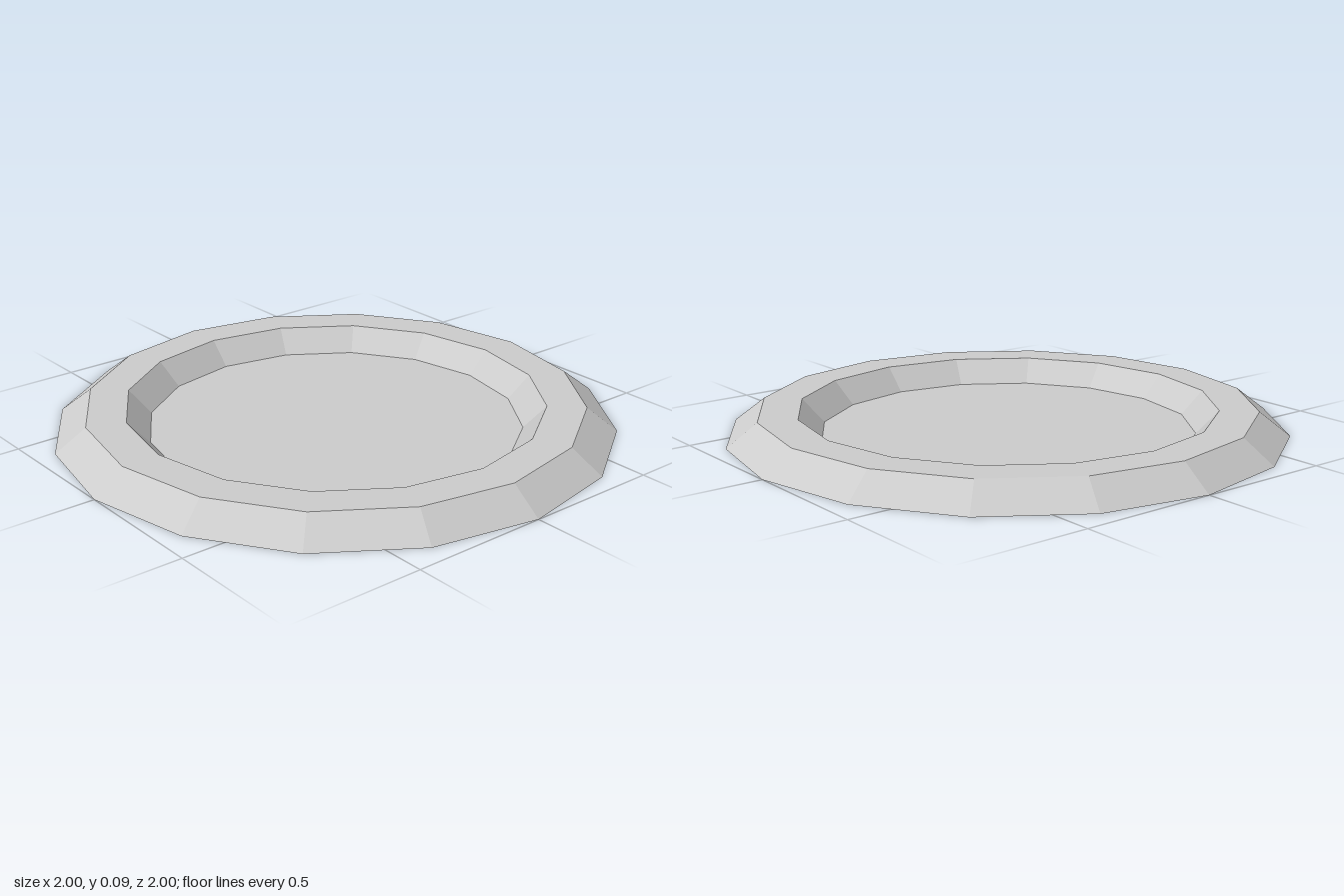
import * as THREE from 'three';

const SIDES = 16;
const HEIGHT = 0.085;

export function createModel() {
  const group = new THREE.Group();
  group.name = 'dish';

  const grey = new THREE.MeshStandardMaterial({ color: 0xcccccc, flatShading: true, side: THREE.DoubleSide });
  grey.name = 'grey';

  // Open sheet turned from a profile of [radius, height] points
  const addRing = (name, profile) => {
    const points = profile.map(([r, y]) => new THREE.Vector2(r, y));
    const mesh = new THREE.Mesh(new THREE.LatheGeometry(points, SIDES), grey);
    mesh.name = name;
    group.add(mesh);
  };

  addRing('outerSlope', [[1, 0], [0.89, HEIGHT]]);
  addRing('rim', [[0.89, HEIGHT], [0.75, HEIGHT]]);
  addRing('innerSlope', [[0.75, HEIGHT], [0.67, 0]]);

  // Flat floor, with its corners in line with the rings
  const floor = new THREE.Mesh(new THREE.CircleGeometry(0.67, SIDES), grey);
  floor.rotation.x = -Math.PI / 2;
  floor.name = 'floor';
  group.add(floor);

  return group;
}
